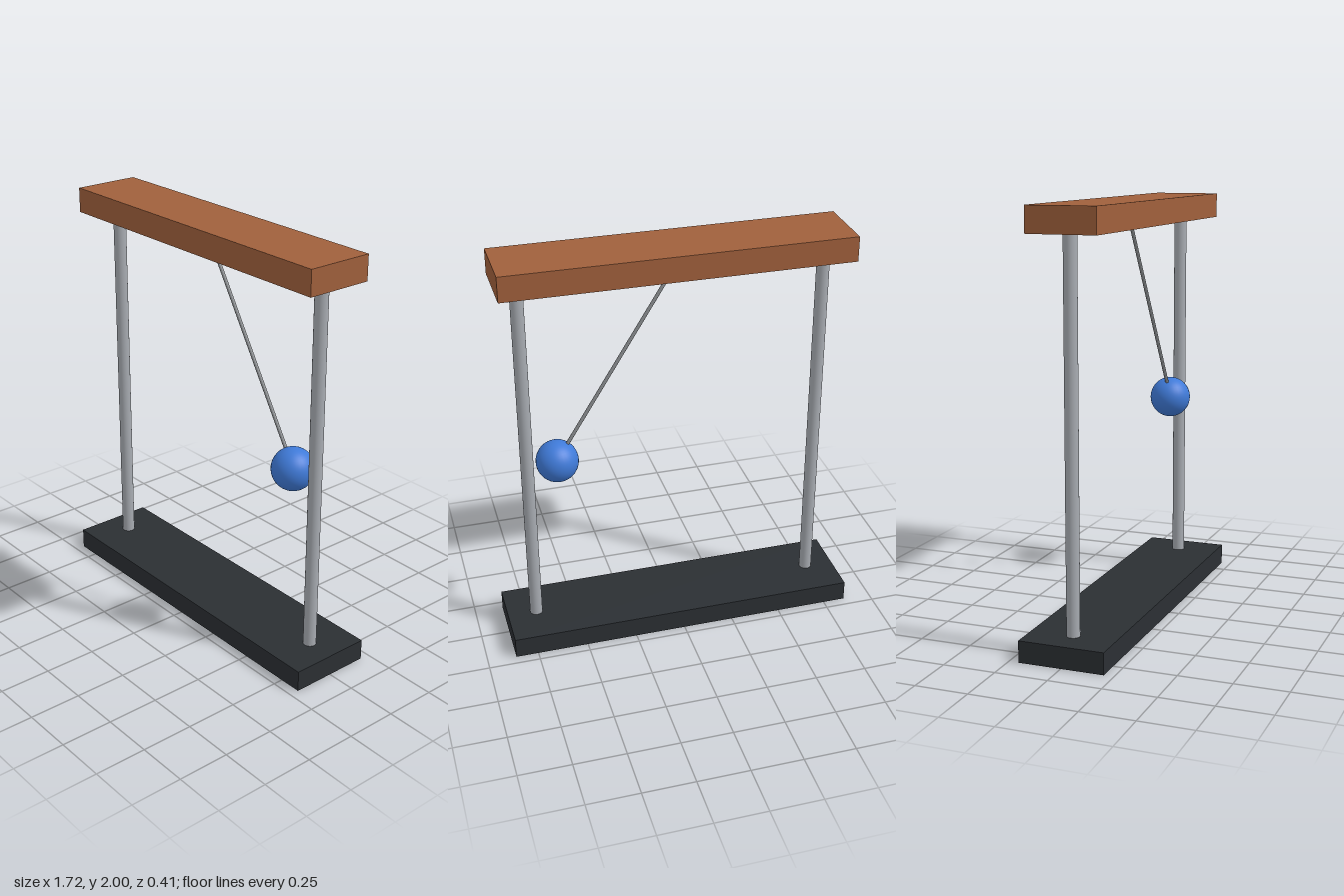
import * as THREE from 'three';

export function createModel() {
  const model = new THREE.Group();
  model.name = 'pendulumStand';

  const add = (name, geometry, color, x, y, z = 0) => {
    const mesh = new THREE.Mesh(geometry, new THREE.MeshStandardMaterial({ color }));
    mesh.name = name;
    mesh.position.set(x, y, z);
    model.add(mesh);
    return mesh;
  };

  const baseTop = 0.102, beamBottom = 1.88;

  // Base slab and top beam
  add('base', new THREE.BoxGeometry(1.72, baseTop, 0.406), 0x2b2f33, 0, baseTop / 2);
  add('topBeam', new THREE.BoxGeometry(1.64, 2 - beamBottom, 0.325), 0xa0603c, 0, (2 + beamBottom) / 2);

  // Upright posts
  const postHeight = beamBottom - baseTop;
  for (const [name, side] of [['leftPost', 1], ['rightPost', -1]]) {
    add(name, new THREE.CylinderGeometry(0.031, 0.031, postHeight, 24), 0xa8acb2,
      side * 0.717, baseTop + postHeight / 2);
  }

  // Rod swung towards the left post, with the bob at its end
  const pivot = new THREE.Vector3(0, beamBottom, 0);
  const bob = new THREE.Vector3(0.572, 0.962, 0);
  const swing = bob.clone().sub(pivot);
  const middle = pivot.clone().add(bob).multiplyScalar(0.5);
  const rod = add('pendulumRod', new THREE.CylinderGeometry(0.0085, 0.0085, swing.length(), 16),
    0x8a8d90, middle.x, middle.y);
  rod.quaternion.setFromUnitVectors(new THREE.Vector3(0, -1, 0), swing.normalize());
  add('pendulumBob', new THREE.SphereGeometry(0.102, 32, 24), 0x3f7ad8, bob.x, bob.y);

  return model;
}
